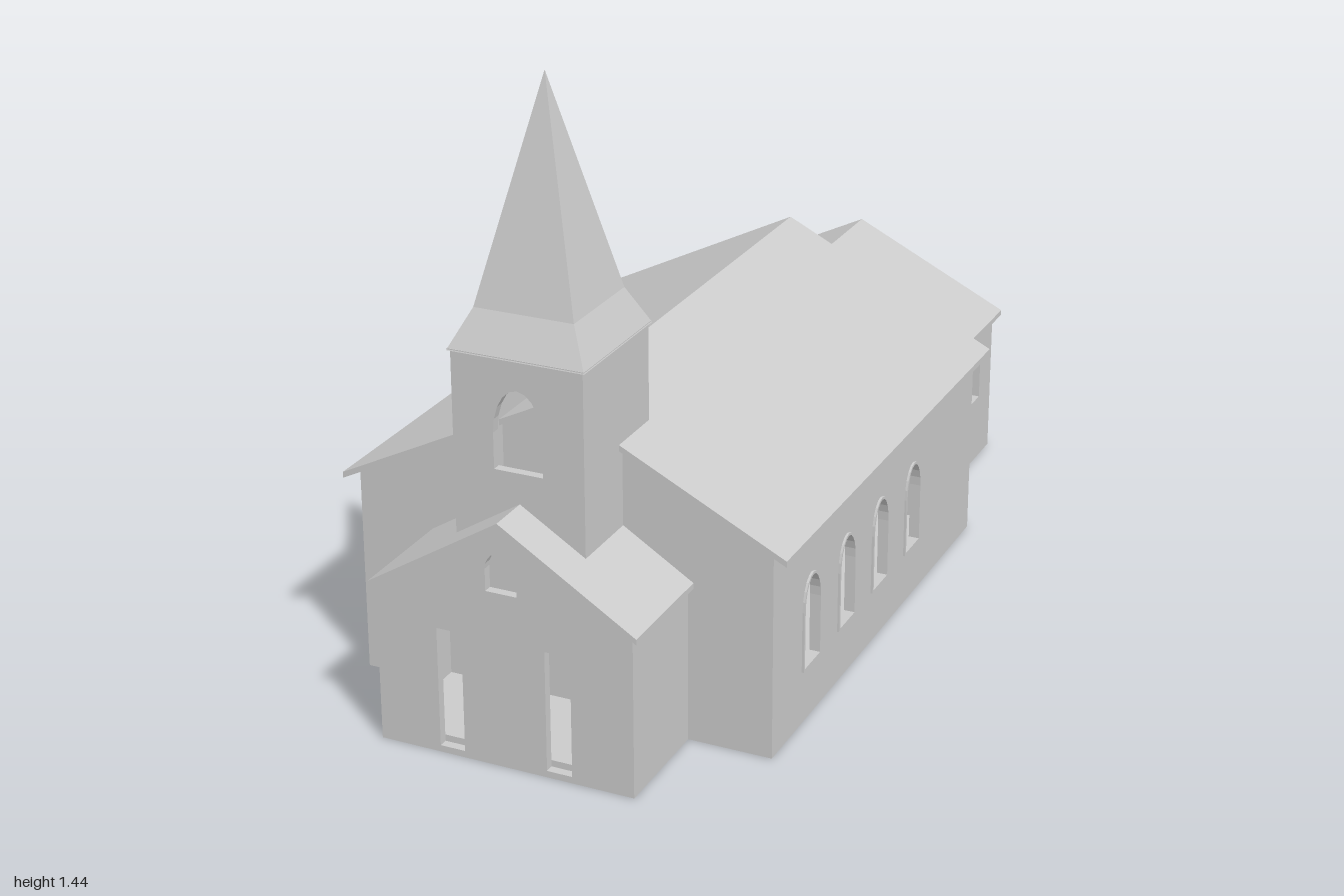
import * as THREE from 'three';

const T = 0.02; // wall thickness
const mat = new THREE.MeshStandardMaterial({ color: 0xcccccc, flatShading: true, side: THREE.DoubleSide });

function add(group, name, geometry, x = 0, y = 0, z = 0) {
  const mesh = new THREE.Mesh(geometry, mat);
  mesh.name = name;
  mesh.position.set(x, y, z);
  group.add(mesh);
  return mesh;
}

const polygon = pts => new THREE.Shape(pts.map(p => new THREE.Vector2(...p)));
const rect = (x0, x1, y0, y1) => [[x0, y0], [x1, y0], [x1, y1], [x0, y1]];

// Outline of an opening with an arched head
function arch(c, w, y0, spring, top) {
  const pts = [[c - w, y0], [c + w, y0]];
  for (let i = 0; i <= 10; i++) {
    const a = Math.PI * i / 10;
    pts.push([c + w * Math.cos(a), spring + (top - spring) * Math.sin(a)]);
  }
  return pts;
}

function panel(outline, holes = [], depth = T) {
  const shape = polygon(outline);
  shape.holes = holes.map(h => new THREE.Path(h.map(p => new THREE.Vector2(...p))));
  return new THREE.ExtrudeGeometry(shape, { depth, bevelEnabled: false });
}

// Panel drawn in (z, y), growing from x = 0 towards -x
const sidePanel = (outline, holes, depth) => panel(outline, holes, depth).rotateY(-Math.PI / 2);

const gable = (w, h, apex) => [[-w, 0], [w, 0], [w, h], [0, apex], [-w, h]];

// Two sloping slabs meeting at the ridge
const roof = (w, eave, ridge, t, length) => panel(
  [[-w, eave - t], [0, ridge - t], [w, eave - t], [w, eave], [0, ridge], [-w, eave]], [], length);

function createNave() {
  const g = new THREE.Group();
  g.name = 'nave';
  const w = 0.485, z0 = -0.485, z1 = 0.73, h = 0.475, apex = 0.718;
  const centres = [0.525, 0.325, 0.125, -0.08];
  const windows = centres.map(c => arch(c, 0.042, 0.13, 0.265, 0.335));
  for (const s of [1, -1]) {
    const name = s > 0 ? 'left' : 'right';
    add(g, name + 'NaveWall', sidePanel(rect(z0, z1, 0, h), windows), s > 0 ? w : -w + T);
    // Thin raised trim round each window
    centres.forEach((c, i) => add(g, name + 'WindowTrim',
      sidePanel(arch(c, 0.048, 0.124, 0.265, 0.341), [windows[i]], 0.006), s > 0 ? w + 0.005 : -w + 0.001));
  }
  add(g, 'frontGable', panel(gable(w, h, apex)), 0, 0, z1 - T);
  add(g, 'rearGable', panel(gable(w, h, apex)), 0, 0, z0);
  add(g, 'naveFloor', new THREE.BoxGeometry(2 * w, 0.01, z1 - z0), 0, 0.005, (z0 + z1) / 2);
  add(g, 'naveRoof', roof(0.52, 0.47, 0.73, 0.014, 1.245), 0, 0, -0.5);
  g.position.x = -0.003;
  return g;
}

function createPorch() {
  const g = new THREE.Group();
  g.name = 'porch';
  const w = 0.295, z0 = 0.73, z1 = 0.99, h = 0.365, apex = 0.55;
  // Slim openings either side of the door, small arched window above
  const holes = [-1, 1].map(s => rect(s * 0.125 - 0.029, s * 0.125 + 0.029, 0.004, 0.29));
  holes.push(arch(0, 0.036, 0.4, 0.45, 0.49));
  add(g, 'porchFront', panel(gable(w, h, apex), holes), 0, 0, z1 - T);
  for (const s of [1, -1])
    add(g, s > 0 ? 'leftPorchWall' : 'rightPorchWall', sidePanel(rect(z0, z1, 0, h)), s > 0 ? w : -w + T);
  add(g, 'porchFloor', new THREE.BoxGeometry(2 * w - 0.02, 0.03, z1 - z0 - T), 0, 0.015, (z0 + z1 - T) / 2);
  for (const s of [1, -1])
    add(g, 'doorStep', new THREE.BoxGeometry(0.058, 0.015, T), s * 0.125, 0.0075, z1 - T / 2);
  add(g, 'porchRoof', roof(0.308, 0.37, 0.562, 0.013, 0.27), 0, 0, 0.73);
  g.position.x = -0.005;
  return g;
}

function createAnnex() {
  const g = new THREE.Group();
  g.name = 'annex';
  const w = 0.375, z0 = -0.975, z1 = -0.48, h = 0.36, apex = 0.55;
  add(g, 'annexRearWall', panel(gable(w, h, apex)), 0, 0, z0);
  // Wide window on one side; door and small window on the other
  const wide = rect(-0.875, -0.575, 0.175, 0.29);
  add(g, 'leftAnnexWall', sidePanel(rect(z0, z1, 0, h), [wide]), w);
  add(g, 'annexWindowTrim',
    sidePanel(rect(-0.882, -0.568, 0.168, 0.297), [wide], 0.006), w + 0.005);
  const side = [rect(-0.7, -0.54, 0.015, 0.29), rect(-0.9, -0.825, 0.175, 0.29)];
  add(g, 'rightAnnexWall', sidePanel(rect(z0, z1, 0, h), side), -w + T);
  add(g, 'annexFloor', new THREE.BoxGeometry(2 * w, 0.01, z1 - z0), 0, 0.005, (z0 + z1) / 2);
  add(g, 'annexRoof', roof(0.39, 0.37, 0.562, 0.013, 0.515), 0, 0, -1);
  g.position.x = -0.01;
  return g;
}

function createTower() {
  const g = new THREE.Group();
  g.name = 'tower';
  const w = 0.149, y0 = 0.455, y1 = 0.885;
  const opening = arch(0, 0.056, 0.63, 0.71, 0.81);
  add(g, 'towerFront', panel(rect(-w, w, y0, y1), [opening]), 0, 0, w - T);
  add(g, 'towerBack', panel(rect(-w, w, 0.6, y1)), 0, 0, -w);
  for (const s of [1, -1])
    add(g, s > 0 ? 'leftTowerWall' : 'rightTowerWall', sidePanel(rect(-w, w, y0, y1)), s > 0 ? w : -w + T);
  // Square spire with flared eaves
  const r = Math.SQRT2;
  const flare = new THREE.CylinderGeometry(0.113 * r, 0.155 * r, 0.085, 4, 1, true).rotateY(Math.PI / 4);
  add(g, 'spireFlare', flare, 0, 0.9175, 0);
  const spire = new THREE.ConeGeometry(0.113 * r, 0.477, 4, 1, true).rotateY(Math.PI / 4);
  add(g, 'spire', spire, 0, 1.1985, 0);
  add(g, 'spireSoffit', new THREE.BoxGeometry(0.308, 0.004, 0.308), 0, 0.877, 0);
  g.position.set(-0.006, 0, 0.752);
  return g;
}

export function createModel() {
  const model = new THREE.Group();
  model.name = 'church';
  model.add(createNave(), createPorch(), createAnnex(), createTower());
  return model;
}
